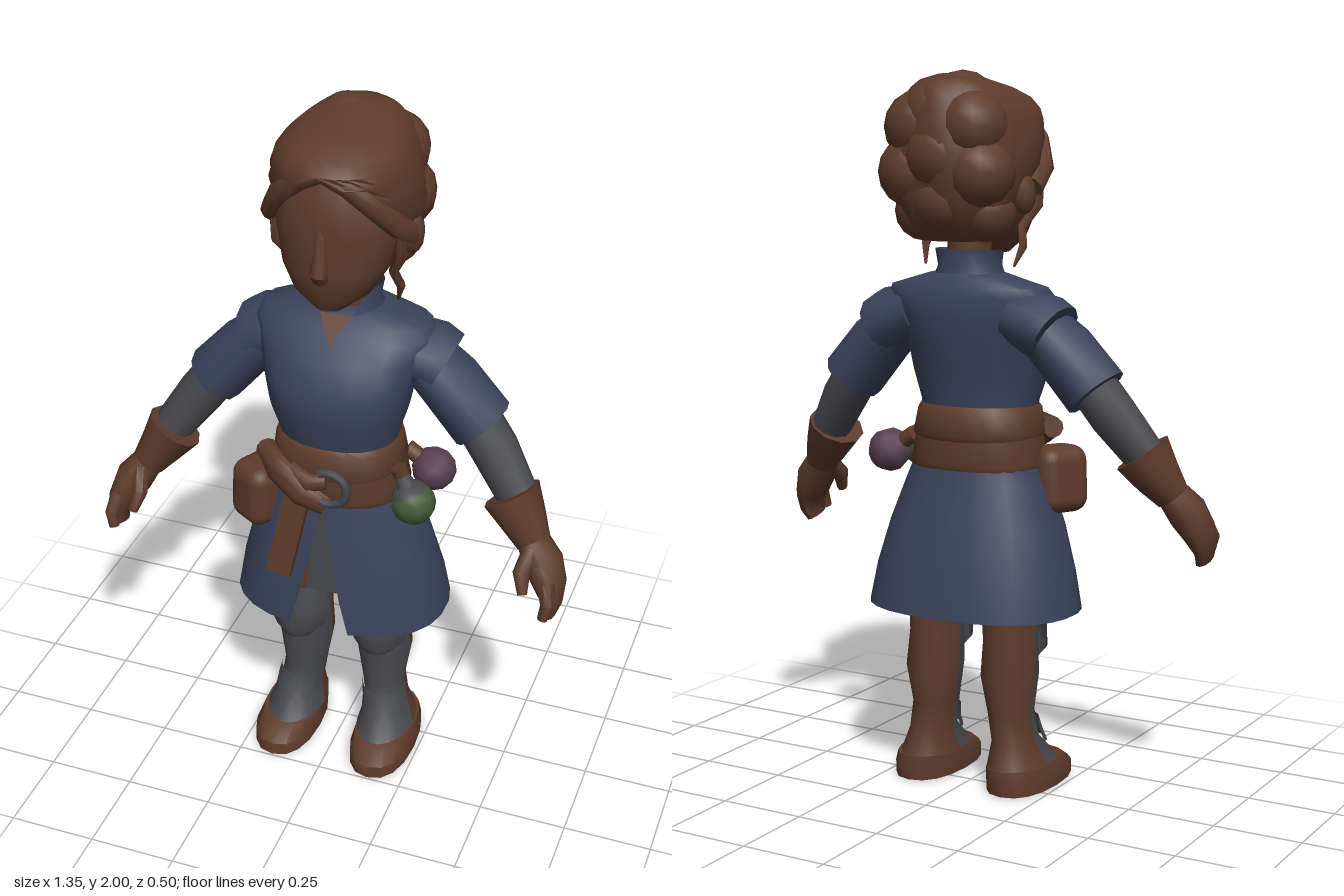
import * as THREE from 'three';
import { toCreasedNormals } from 'three/addons/utils/BufferGeometryUtils.js';
import { RoundedBoxGeometry } from 'three/addons/geometries/RoundedBoxGeometry.js';

const paint = (name, color) => {
  const m = new THREE.MeshStandardMaterial({ color, side: THREE.DoubleSide });
  m.name = name;
  return m;
};
const rad = THREE.MathUtils.degToRad;

// Joins rings of points into a surface; closed rings get end caps.
function skin(rings, closed) {
  const n = rings[0].length, pos = [], idx = [];
  rings.forEach(r => r.forEach(p => pos.push(p.x, p.y, p.z)));
  for (let i = 0; i < rings.length - 1; i++) {
    for (let j = 0; j < (closed ? n : n - 1); j++) {
      const a = i * n + j, b = i * n + (j + 1) % n;
      idx.push(a, b, a + n, b, b + n, a + n);
    }
  }
  if (closed) {
    [0, rings.length - 1].forEach((i, end) => {
      const c = rings[i].reduce((s, p) => s.add(p), new THREE.Vector3()).divideScalar(n);
      const k = pos.length / 3;
      pos.push(c.x, c.y, c.z);
      for (let j = 0; j < n; j++) {
        const a = i * n + j, b = i * n + (j + 1) % n;
        if (end) idx.push(a, b, k); else idx.push(b, a, k);
      }
    });
  }
  const g = new THREE.BufferGeometry();
  g.setAttribute('position', new THREE.Float32BufferAttribute(pos, 3));
  g.setIndex(idx);
  return toCreasedNormals(g, 0.9);
}

// Upright loft. Section: [y, centre x, half width, front z, back z, front gap in degrees].
// Angle 0 is the front, 90 is +x.
function loft(sections, { n = 16, from = 0, to = 360, open = false, power = 1, ripple = 0 } = {}) {
  const bend = v => Math.sign(v) * Math.abs(v) ** power;
  const rings = sections.map(([y, cx, rx, zf, zb, gap = 0]) => {
    const ring = [];
    for (let j = 0; j < n; j++) {
      const t = open ? j / (n - 1) : j / n;
      const a = rad(from + gap + (to - from - 2 * gap) * t);
      const k = 1 + ripple * Math.sin(7 * a + 9 * y) * Math.abs(Math.sin(a / 2));
      ring.push(new THREE.Vector3(cx + k * rx * bend(Math.sin(a)), y,
        (zf + zb) / 2 + k * (zf - zb) / 2 * bend(Math.cos(a))));
    }
    return ring;
  });
  return skin(rings, !open);
}

// Tapered limb. Node: [x, y, z, radius in the front plane, depth radius].
function limb(nodes, n = 10) {
  const p = nodes.map(q => new THREE.Vector3(q[0], q[1], q[2]));
  const rings = nodes.map((q, i) => {
    const d = p[Math.min(i + 1, p.length - 1)].clone().sub(p[Math.max(i - 1, 0)]).normalize();
    const u = new THREE.Vector3(0, 0, 1).cross(d).normalize();
    const v = d.clone().cross(u);
    return Array.from({ length: n }, (_, j) => {
      const a = j / n * Math.PI * 2;
      return p[i].clone().addScaledVector(u, q[3] * Math.cos(a)).addScaledVector(v, q[4] * Math.sin(a));
    });
  });
  return skin(rings, true);
}

export function createModel() {
  const model = new THREE.Group();
  model.name = 'adventurer';
  const brown = paint('brown', 0x5d3b2b), blue = paint('blue cloth', 0x3b435b);
  const grey = paint('grey', 0x48494d), green = paint('green glass', 0x465c38);
  const mauve = paint('mauve glass', 0x5a4050);
  const add = (name, geo, mat, parent = model) => {
    const m = new THREE.Mesh(geo, mat);
    m.name = name;
    parent.add(m);
    return m;
  };

  // Head, nose and neck
  add('head', loft([
    [1.505, 0, 0.045, 0.17, 0.06], [1.55, 0, 0.105, 0.192, 0], [1.62, 0, 0.147, 0.203, -0.08],
    [1.72, 0, 0.172, 0.203, -0.15], [1.82, 0, 0.16, 0.2, -0.15], [1.89, 0, 0.1, 0.16, -0.1],
  ], { n: 20, power: 0.88 }), brown);
  add('neck', loft([[1.38, 0, 0.075, 0.05, -0.08], [1.46, 0, 0.06, 0.045, -0.07], [1.58, 0, 0.06, 0.07, -0.08]]), brown);
  add('nose', limb([[0, 1.75, 0.188, 0.014, 0.014], [0, 1.68, 0.2, 0.018, 0.02], [0, 1.63, 0.212, 0.025, 0.026], [0, 1.61, 0.2, 0.02, 0.018]], 8), brown);

  // Hair: one shell with a face opening, plus curls, swept fringe, side knots and wisps
  add('hair', loft([
    [1.545, 0, 0.08, -0.02, -0.14, 100], [1.585, 0, 0.135, 0.03, -0.185, 92], [1.66, 0, 0.178, 0.09, -0.215, 82],
    [1.75, 0, 0.195, 0.165, -0.232, 64], [1.82, 0, 0.195, 0.207, -0.232, 42], [1.87, 0, 0.185, 0.217, -0.222, 18],
    [1.9, 0, 0.175, 0.215, -0.215], [1.93, 0, 0.155, 0.185, -0.207], [1.955, 0, 0.125, 0.11, -0.195],
    [1.975, 0, 0.09, 0.0, -0.17], [1.99, 0, 0.045, -0.04, -0.12], [1.993, 0, 0.001, -0.079, -0.081],
  ], { n: 33, open: true, power: 0.9, ripple: 0.03 }), brown);
  add('hairBase', loft([[1.55, 0, 0.08, -0.03, -0.13], [1.6, 0, 0.13, 0.02, -0.17], [1.7, 0, 0.165, 0.05, -0.19]]), brown);
  const curls = [[0, 1.655, -0.135, 0.093], [0, 1.775, -0.148, 0.104], [-0.025, 1.905, -0.085, 0.095], [0.03, 1.885, -0.125, 0.098]];
  for (const s of [1, -1]) {
    curls.push([s * 0.1, 1.73, -0.13, 0.1], [s * 0.08, 1.85, -0.13, 0.1], [s * 0.095, 1.625, -0.085, 0.083], [s * 0.08, 1.87, 0, 0.09]);
  }
  for (const [x, y, z, r] of curls) add('curl', new THREE.SphereGeometry(r, 12, 8), brown).position.set(x, y, z);
  for (const s of [1, -1]) {
    add('fringe', limb([
      [s * 0.004, 1.895, 0.19, 0.02, 0.018], [s * 0.065, 1.872, 0.187, 0.028, 0.018], [s * 0.125, 1.815, 0.16, 0.03, 0.024],
      [s * 0.17, 1.745, 0.1, 0.026, 0.035], [s * 0.188, 1.69, 0.02, 0.017, 0.03],
    ], 8), brown);
    const knot = add('hairKnot', new THREE.SphereGeometry(0.05, 8, 6), brown);
    knot.position.set(s * 0.175, 1.67, -0.02);
    knot.scale.set(0.6, 1.1, 0.9);
    add('wisp', limb([
      [s * 0.175, 1.72, 0.07, 0.014, 0.018], [s * 0.17, 1.64, 0.07, 0.016, 0.018], [s * 0.14, 1.58, 0.035, 0.013, 0.014],
      [s * 0.155, 1.53, 0.015, 0.012, 0.014], [s * 0.14, 1.475, -0.01, 0.004, 0.004],
    ], 6), brown);
  }

  // Tunic: bodice, collar, skirt with a front slit
  add('bodice', loft([
    [1.03, 0, 0.16, 0.18, -0.085], [1.1, 0, 0.168, 0.193, -0.085], [1.18, 0, 0.193, 0.217, -0.1],
    [1.26, 0, 0.207, 0.22, -0.115], [1.34, 0, 0.23, 0.175, -0.128], [1.39, 0, 0.252, 0.13, -0.125],
    [1.42, 0, 0.235, 0.1, -0.118], [1.455, 0, 0.11, 0.065, -0.095],
  ], { n: 20, power: 0.88 }), blue);
  add('collar', loft([[1.43, 0, 0.11, 0.085, -0.1, 20], [1.475, 0, 0.092, 0.075, -0.085, 35], [1.52, 0, 0.1, 0.07, -0.085, 60]],
    { n: 17, open: true }), blue);
  const plate = points => new THREE.ShapeGeometry(new THREE.Shape(points.map(p => new THREE.Vector2(...p))));
  const neckline = add('neckline', plate([[-0.045, 0.09], [0, 0], [0.045, 0.09]]), brown);
  neckline.position.set(0, 1.385, 0.147);
  neckline.rotation.x = -0.75;
  add('skirt', loft([
    [1.02, 0, 0.163, 0.18, -0.085, 0], [0.93, 0, 0.185, 0.19, -0.1, 0], [0.88, 0, 0.205, 0.2, -0.115, 1],
    [0.75, 0, 0.255, 0.22, -0.15, 5], [0.62, 0, 0.29, 0.237, -0.185, 9], [0.515, 0, 0.31, 0.245, -0.2, 13],
  ], { n: 25, open: true, power: 0.85 }), blue);
  add('frontPanel', plate([[-0.07, 0.58], [0.07, 0.58], [0.03, 0.92], [-0.03, 0.92]]), grey).position.z = 0.15;
  add('hips', loft([[0.6, 0, 0.13, 0.09, -0.08], [0.7, 0, 0.17, 0.12, -0.1], [0.95, 0, 0.15, 0.13, -0.08]]), brown);

  // Belt, sash knot, hanging strap, buckle and pouch
  add('lowerBelt', loft([[0.915, 0, 0.19, 0.2, -0.107], [0.93, 0, 0.195, 0.207, -0.112], [1.03, 0, 0.175, 0.198, -0.098]],
    { power: 0.85, n: 20 }), brown);
  add('upperSash', loft([[0.99, 0, 0.175, 0.2, -0.1], [1.01, 0, 0.185, 0.207, -0.112], [1.075, 0, 0.175, 0.202, -0.098], [1.09, 0, 0.165, 0.19, -0.088]],
    { power: 0.85, n: 20 }), brown);
  add('sashFold', limb([[-0.19, 1.02, 0.13, 0.03, 0.03], [-0.13, 1.01, 0.2, 0.045, 0.025], [-0.05, 0.96, 0.225, 0.042, 0.025], [0.015, 0.925, 0.215, 0.03, 0.02]]), brown);
  add('sashKnot', limb([[-0.09, 1.01, 0.2, 0.03, 0.02], [-0.03, 0.995, 0.222, 0.03, 0.022], [0.015, 1.0, 0.212, 0.02, 0.016]]), brown);
  const strap = add('hangingStrap', new THREE.BoxGeometry(0.07, 0.29, 0.028), brown);
  strap.position.set(-0.09, 0.825, 0.222);
  strap.rotation.set(-0.06, 0, -0.2);
  const buckle = add('buckle', new THREE.TorusGeometry(0.05, 0.013, 6, 14, Math.PI * 1.35), grey);
  buckle.position.set(0.03, 0.995, 0.23);
  buckle.rotation.z = -2.1;
  const pouch = add('pouch', new RoundedBoxGeometry(0.135, 0.19, 0.155, 3, 0.045), brown);
  pouch.position.set(-0.207, 0.878, 0.12);
  pouch.rotation.set(0, -0.5, -0.06);

  // Green flask with a grey shoulder and neck
  const flask = new THREE.Group();
  flask.name = 'greenFlask';
  const top = Math.PI * 0.33;
  add('bulb', new THREE.SphereGeometry(0.063, 9, 5, 0, Math.PI * 2, top, Math.PI - top), green, flask);
  add('flaskShoulder', new THREE.SphereGeometry(0.063, 9, 3, 0, Math.PI * 2, 0, top), grey, flask);
  add('flaskNeck', new THREE.CylinderGeometry(0.018, 0.03, 0.05, 8), grey, flask).position.y = 0.07;
  add('cork', new THREE.CylinderGeometry(0.025, 0.022, 0.025, 8), brown, flask).position.y = 0.1;
  flask.position.set(0.238, 0.938, 0.132);
  flask.rotation.z = 0.4;
  model.add(flask);

  // Mauve flask lying against the belt
  const sideFlask = new THREE.Group();
  sideFlask.name = 'mauveFlask';
  add('bulb', new THREE.SphereGeometry(0.063, 9, 6), mauve, sideFlask);
  add('cork', new THREE.CylinderGeometry(0.024, 0.024, 0.05, 8), brown, sideFlask).position.y = 0.07;
  sideFlask.position.set(0.245, 0.945, -0.035);
  sideFlask.rotation.z = 1.0;
  model.add(sideFlask);

  for (const s of [1, -1]) {
    // Arms and gloves
    add('shoulderCap', limb([[s * 0.16, 1.345, -0.015, 0.075, 0.1], [s * 0.235, 1.32, -0.02, 0.09, 0.11], [s * 0.272, 1.3, -0.02, 0.084, 0.11]], 12), blue);
    add('sleeve', limb([[s * 0.2, 1.335, -0.01, 0.07, 0.09], [s * 0.29, 1.255, -0.005, 0.084, 0.098], [s * 0.388, 1.145, 0, 0.087, 0.098]], 12), blue);
    add('forearm', limb([[s * 0.36, 1.18, 0.005, 0.065, 0.068], [s * 0.43, 1.085, 0.02, 0.066, 0.068], [s * 0.52, 0.96, 0.06, 0.055, 0.058]], 10), grey);
    add('gloveCuff', limb([[s * 0.495, 0.983, 0.065, 0.082, 0.085], [s * 0.535, 0.92, 0.08, 0.064, 0.07], [s * 0.572, 0.865, 0.1, 0.048, 0.05]], 10), brown);
    add('hand', limb([[s * 0.567, 0.875, 0.098, 0.044, 0.048], [s * 0.607, 0.82, 0.12, 0.054, 0.062], [s * 0.635, 0.765, 0.14, 0.042, 0.064],
      [s * 0.647, 0.72, 0.155, 0.026, 0.056], [s * 0.64, 0.685, 0.165, 0.018, 0.045]], 10), brown);
    add('thumb', limb([[s * 0.575, 0.86, 0.135, 0.025, 0.028], [s * 0.563, 0.815, 0.185, 0.024, 0.025], [s * 0.575, 0.765, 0.21, 0.014, 0.016]], 8), brown);
    add('foreFinger', limb([[s * 0.63, 0.79, 0.175, 0.026, 0.024], [s * 0.645, 0.74, 0.205, 0.02, 0.022], [s * 0.635, 0.7, 0.215, 0.014, 0.016]], 8), brown);

    // Legs: grey in front, brown behind
    const leg = [[0.07, 0.142, 0.084, 0.18, -0.095], [0.14, 0.135, 0.062, 0.1, -0.065], [0.22, 0.123, 0.062, 0.092, -0.065],
      [0.33, 0.122, 0.08, 0.1, -0.085], [0.43, 0.12, 0.076, 0.1, -0.07], [0.52, 0.118, 0.078, 0.1, -0.075], [0.7, 0.11, 0.095, 0.11, -0.09]]
      .map(([y, x, ...r]) => [y, s * x, ...r]);
    add('greave', loft(leg.slice(0, 6), { n: 10, from: -90, to: 90, open: true }), grey);
    add('legBack', loft(leg.slice(0, 6), { n: 10, from: 90, to: 270, open: true }), brown);
    add('thigh', loft(leg.slice(5)), brown);
    add('ankleGuard', loft([[0.125, s * 0.138, 0.066, 0.135, -0.02], [0.16, s * 0.135, 0.066, 0.112, -0.03], [0.2, s * 0.128, 0.064, 0.1, -0.03]],
      { n: 9, from: -85, to: 85, open: true }), grey);
    add('kneePad', loft([[0.365, s * 0.122, 0.045, 0.125, 0.03], [0.4, s * 0.122, 0.082, 0.14, -0.03],
      [0.46, s * 0.12, 0.085, 0.137, -0.03], [0.54, s * 0.118, 0.075, 0.115, -0.03]],
      { n: 9, from: -80, to: 80, open: true }), grey);
    add('boot', loft([[0.003, s * 0.15, 0.09, 0.248, -0.1], [0.04, s * 0.15, 0.092, 0.245, -0.1], [0.072, s * 0.146, 0.084, 0.195, -0.097]],
      { power: 0.85 }), brown);
    const sole = add('sole', new THREE.CircleGeometry(0.05, 12), grey);
    sole.position.set(s * 0.15, 0, 0.1);
    sole.rotation.x = Math.PI / 2;
    sole.scale.y = 1.8;
  }
  return model;
}
